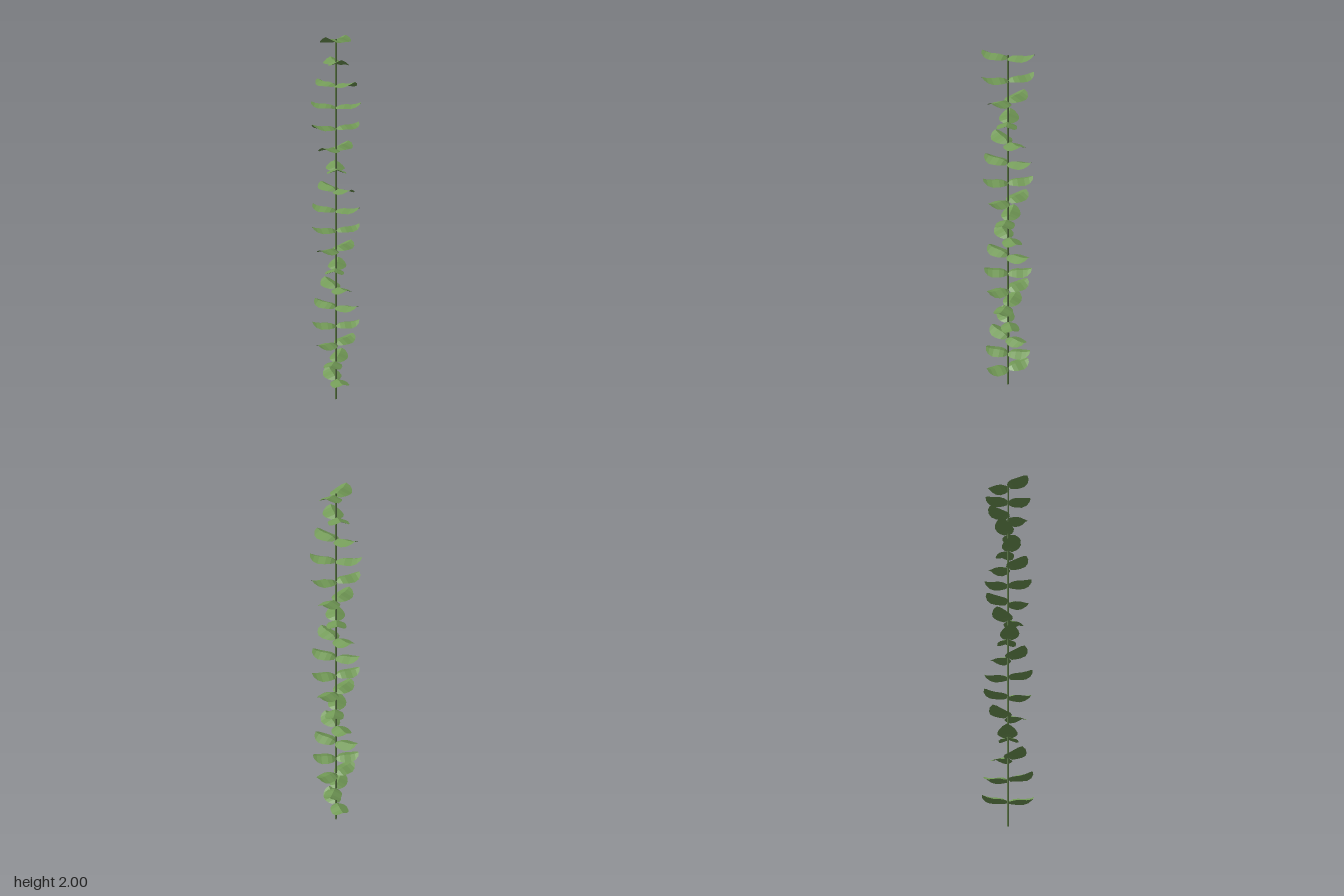
import * as THREE from 'three';

const LEAF_LENGTH = 0.13, LEAF_HALF_WIDTH = 0.051;

// Height of the midrib from stem (t = 0) to upturned tip (t = 1)
const midrib = new THREE.SplineCurve([
  [0, 0], [0.15, 0.011], [0.3, 0.016], [0.5, 0.016], [0.7, 0.017], [0.85, 0.021], [1, 0.028],
].map(([t, y]) => new THREE.Vector2(t, y)));

// Oval blade along +x, folded like a tent on the midrib
function leafGeometry(rows = 7, half = 2) {
  const positions = [], index = [], cols = half * 2 + 1;
  for (let i = 0; i <= rows; i++) {
    const angle = (Math.PI * i) / rows;
    const rib = midrib.getPoint((1 - Math.cos(angle)) / 2);
    const width = LEAF_HALF_WIDTH * Math.sin(angle);
    for (let j = -half; j <= half; j++) {
      const side = j / half;
      const droop = 0.019 * Math.abs(side) * Math.sin(angle);
      positions.push(rib.x * LEAF_LENGTH, rib.y - droop, width * side);
    }
  }
  for (let i = 0; i < rows; i++) {
    for (let j = 0; j < cols - 1; j++) {
      const a = i * cols + j, b = a + 1, c = a + cols, d = c + 1;
      if (i > 0) index.push(a, b, c);
      if (i < rows - 1) index.push(b, d, c);
    }
  }
  const geometry = new THREE.BufferGeometry();
  geometry.setAttribute('position', new THREE.Float32BufferAttribute(positions, 3));
  geometry.setIndex(index);
  const flat = geometry.toNonIndexed();
  flat.computeVertexNormals();
  return flat;
}

export function createModel() {
  const model = new THREE.Group();
  model.name = 'leafyStalk';

  const leafGreen = new THREE.MeshStandardMaterial({ color: 0x739b57, flatShading: true, side: THREE.DoubleSide });
  leafGreen.name = 'leaf green';
  const stemGreen = new THREE.MeshStandardMaterial({ color: 0x5f7c49 });
  stemGreen.name = 'stem green';

  // Thin upright stem
  const stemHeight = 1.985;
  const stem = new THREE.Mesh(new THREE.CylinderGeometry(0.005, 0.0055, stemHeight, 6), stemGreen);
  stem.name = 'stem';
  stem.position.y = stemHeight / 2;
  model.add(stem);

  // Opposite leaf pairs, each turned a little from the one above
  const blade = leafGeometry();
  const tiers = 18;
  for (let i = 0; i < tiers; i++) {
    const pair = new THREE.Group();
    pair.name = 'leafPair';
    pair.position.y = 0.121 + i * 0.10888;
    pair.rotation.y = THREE.MathUtils.degToRad(20 + 34.2 * (tiers - 1 - i));
    for (const turn of [0, Math.PI]) {
      const leaf = new THREE.Mesh(blade, leafGreen);
      leaf.name = 'leaf';
      leaf.rotation.y = turn;
      pair.add(leaf);
    }
    model.add(pair);
  }
  return model;
}
